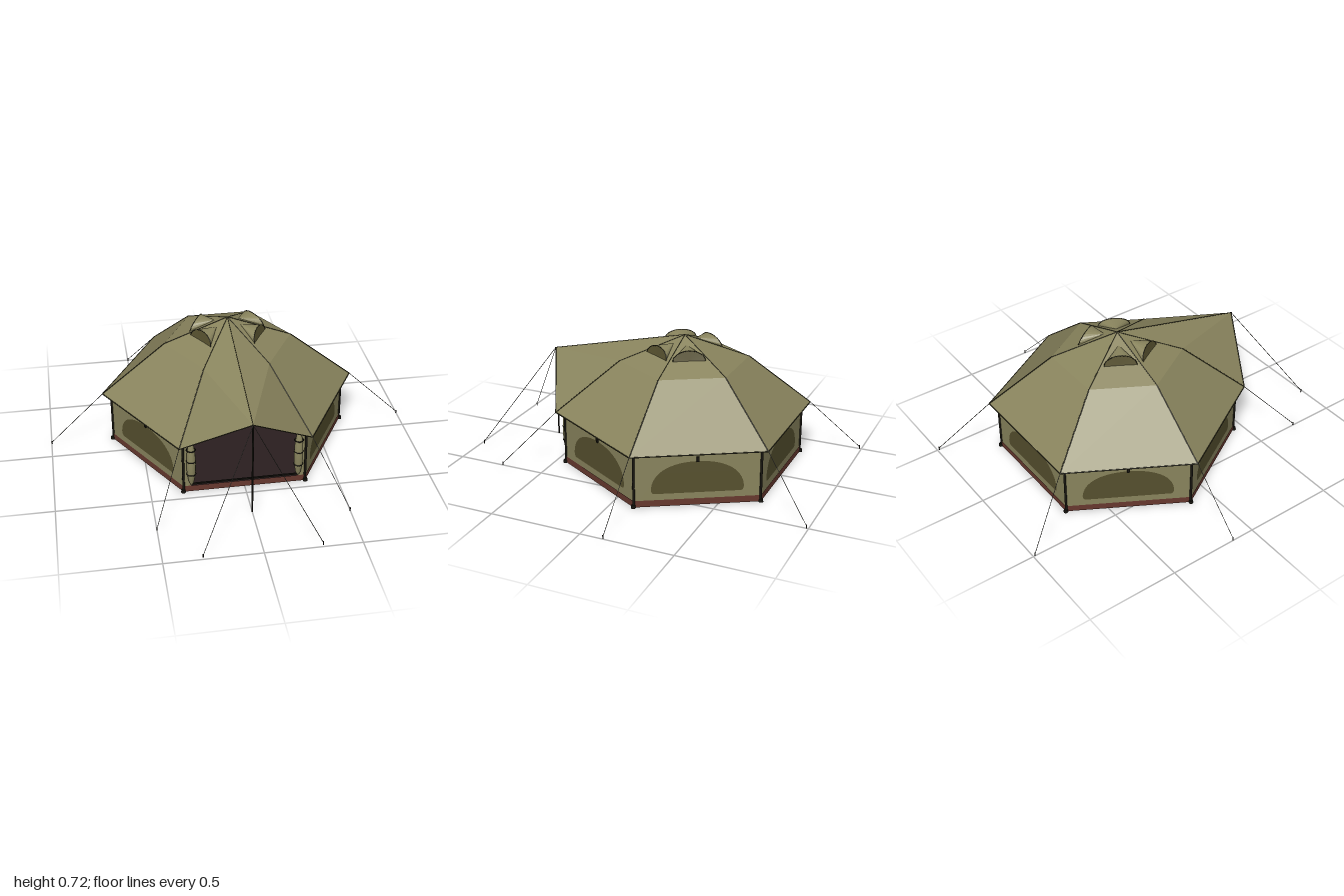
import * as THREE from 'three';

const mat = (name, color, side = THREE.DoubleSide) => {
  const m = new THREE.MeshStandardMaterial({ color, side });
  m.name = name;
  return m;
};

export function createModel() {
  const canvas = mat('olive canvas', 0x8a855e);
  const mesh = mat('window mesh', 0x57512f);
  const mud = mat('brown mud wall', 0x68392f);
  const floorMat = mat('dark groundsheet', 0x2a1e1f);
  const black = mat('black trim', 0x17150f);
  const seamMat = mat('dark seam', 0x35331f);
  const ropeMat = mat('guy rope', 0x45443c);

  const tent = new THREE.Group();
  tent.name = 'bellTent';
  const CZ = -0.125, WALL_R = 0.65, APOTHEM = WALL_R * Math.cos(Math.PI / 6);
  const V = (x, y, z) => new THREE.Vector3(x, y, z);
  const corner = (r, y, k) => V(r * Math.cos(k * Math.PI / 3), y, r * Math.sin(k * Math.PI / 3) + CZ);

  const add = (parent, name, geo, material, x = 0, y = 0, z = 0) => {
    const m = new THREE.Mesh(geo, material);
    m.name = name;
    m.position.set(x, y, z);
    parent.add(m);
    return m;
  };
  // Straight rod between two points
  const rod = (parent, name, a, b, r, material) => {
    const d = b.clone().sub(a);
    const m = add(parent, name, new THREE.CylinderGeometry(r, r, d.length(), 6), material);
    m.position.copy(a).add(b).multiplyScalar(0.5);
    m.quaternion.setFromUnitVectors(V(0, 1, 0), d.normalize());
  };
  // Flat-faced geometry from a list of triangle corners
  const facets = (pts) => {
    const g = new THREE.BufferGeometry().setFromPoints(pts);
    g.computeVertexNormals();
    return g;
  };
  const flat = (g) => {
    const n = g.toNonIndexed();
    n.computeVertexNormals();
    return n;
  };

  // Roof: five two-pitch sectors, the front one drawn out into an awning
  const peak = V(0, 0.72, CZ), tip = V(0, 0.53, 0.665);
  const ring = [], eave = [];
  for (let k = 0; k < 6; k++) {
    ring.push(corner(0.35, 0.585, k));
    eave.push(corner(0.7, 0.3, k));
  }
  const roof = [];
  for (let k = 0; k < 6; k++) {
    const n = (k + 1) % 6;
    if (k === 1) continue;
    roof.push(peak, ring[n], ring[k], ring[k], ring[n], eave[n], ring[k], eave[n], eave[k]);
  }
  add(tent, 'roof', facets(roof), canvas);
  add(tent, 'awning', facets([
    peak, tip, ring[1], ring[1], tip, eave[1],
    peak, ring[2], tip, ring[2], eave[2], tip,
  ]), canvas);

  // Seams on hips, eaves and awning edges
  for (let k = 0; k < 6; k++) {
    rod(tent, 'hipSeam', ring[k], eave[k], 0.003, seamMat);
    rod(tent, 'upperHipSeam', peak, ring[k], 0.002, seamMat);
    if (k !== 1) rod(tent, 'eaveSeam', eave[k], eave[(k + 1) % 6], 0.003, seamMat);
  }
  rod(tent, 'awningRidge', peak, tip, 0.002, seamMat);
  for (const k of [1, 2]) rod(tent, 'awningEdge', tip, eave[k], 0.003, seamMat);

  // Window outline: flat sill, rounded corners, low arch
  const arch = (path) => {
    path.moveTo(-0.222, 0.07);
    path.lineTo(0.222, 0.07);
    path.quadraticCurveTo(0.238, 0.072, 0.238, 0.1);
    path.bezierCurveTo(0.228, 0.2, 0.125, 0.245, 0, 0.245);
    path.bezierCurveTo(-0.125, 0.245, -0.228, 0.2, -0.238, 0.1);
    path.quadraticCurveTo(-0.238, 0.072, -0.222, 0.07);
    return path;
  };
  const WALL_H = 0.325;
  const wallShape = new THREE.Shape([[-0.325, 0], [0.325, 0], [0.325, WALL_H], [-0.325, WALL_H]]
    .map(([x, y]) => new THREE.Vector2(x, y)));
  wallShape.holes.push(arch(new THREE.Path()));
  const wallGeo = new THREE.ShapeGeometry(wallShape, 12);
  const windowGeo = new THREE.ShapeGeometry(arch(new THREE.Shape()), 12);
  const outline = arch(new THREE.Path()).getPoints(8).slice(0, -1).map((p) => V(p.x, p.y, 0));
  const trimGeo = new THREE.TubeGeometry(new THREE.CatmullRomCurve3(outline, true), 80, 0.004, 5, true);

  // Rolled door curtain
  const curtainGeo = new THREE.LatheGeometry([[0.004, 0.05], [0.014, 0.07], [0.023, 0.12], [0.025, 0.18],
    [0.022, 0.25], [0.014, 0.3], [0.008, 0.325]].map(([x, y]) => new THREE.Vector2(x, y)), 12);

  // Roof vent hood: fan from an apex to an arched mouth
  const lip = [];
  for (let i = 0; i <= 12; i++) {
    const a = Math.PI * i / 12;
    lip.push(V(-0.086 * Math.cos(a), 0.638 + 0.052 * Math.sin(a), 0.187 - 0.014 * Math.sin(a)));
  }
  const hood = [], mouth = [], apex = V(0, 0.687, 0.075), sill = V(0, 0.638, 0.185);
  for (let i = 0; i < 12; i++) {
    hood.push(apex, lip[i], lip[i + 1]);
    mouth.push(sill, lip[i + 1], lip[i]);
  }
  const hoodGeo = facets(hood), mouthGeo = facets(mouth);
  const lipGeo = new THREE.TubeGeometry(new THREE.CatmullRomCurve3(lip), 24, 0.002, 5);

  // Six sides; side 0 is the open doorway, side 3 the back
  for (let k = 0; k < 6; k++) {
    const side = new THREE.Group();
    side.name = k ? 'wallSide' : 'doorSide';
    side.position.z = CZ;
    side.rotation.y = k * Math.PI / 3;
    tent.add(side);

    if (k) {
      add(side, 'wall', wallGeo, canvas, 0, 0, APOTHEM);
      add(side, 'window', windowGeo, mesh, 0, 0, APOTHEM);
      add(side, 'windowTrim', trimGeo, black, 0, 0, APOTHEM - 0.006);
      add(side, 'windowToggle', new THREE.BoxGeometry(0.014, 0.028, 0.01), black, 0, 0.257, APOTHEM + 0.004);
    } else {
      for (const s of [-1, 1]) {
        add(side, 'doorJamb', new THREE.PlaneGeometry(0.04, WALL_H), canvas, s * 0.305, WALL_H / 2, APOTHEM);
        add(side, 'rolledCurtain', curtainGeo, canvas, s * 0.285, 0, APOTHEM + 0.012);
        for (const y of [0.12, 0.2, 0.27]) {
          const tie = add(side, 'curtainTie', new THREE.TorusGeometry(0.0235, 0.003, 5, 14), black, s * 0.285, y, APOTHEM + 0.012);
          tie.rotation.x = Math.PI / 2;
        }
      }
      add(side, 'doorThreshold', new THREE.BoxGeometry(0.58, 0.008, 0.008), black, 0, 0.046, APOTHEM);
    }
    if (k % 3) {
      add(side, 'ventHood', hoodGeo, canvas);
      add(side, 'ventMouth', mouthGeo, mesh);
      add(side, 'ventLip', lipGeo, seamMat);
    }
  }

  // Mud wall band and groundsheet
  const hex = (r, h, open) => flat(new THREE.CylinderGeometry(r, r, h, 6, 1, open, Math.PI / 6));
  add(tent, 'mudWall', hex(0.655, 0.036, true), mud, 0, 0.02, CZ);
  add(tent, 'groundsheet', hex(0.653, 0.006, false), floorMat, 0, 0.004, CZ);

  // Corner posts, guy ropes and pegs
  const guy = (a, b) => {
    rod(tent, 'guyRope', a, b, 0.0016, ropeMat);
    add(tent, 'peg', new THREE.CylinderGeometry(0.003, 0.003, 0.02, 6), black, b.x, 0.01, b.z);
  };
  for (let k = 0; k < 6; k++) {
    rod(tent, 'cornerPost', corner(0.652, 0, k), corner(0.652, 0.3, k), 0.007, black);
    const foot = corner(0.656, 0.008, k);
    add(tent, 'postFoot', new THREE.CylinderGeometry(0.011, 0.013, 0.016, 8), black, foot.x, foot.y, foot.z);
    guy(eave[k], corner(0.998, 0.012, k));
  }
  rod(tent, 'awningPole', V(0, 0, 0.665), tip, 0.005, black);
  for (const s of [-1, 1]) guy(tip, V(s * 0.3, 0.012, 0.985));

  return tent;
}
